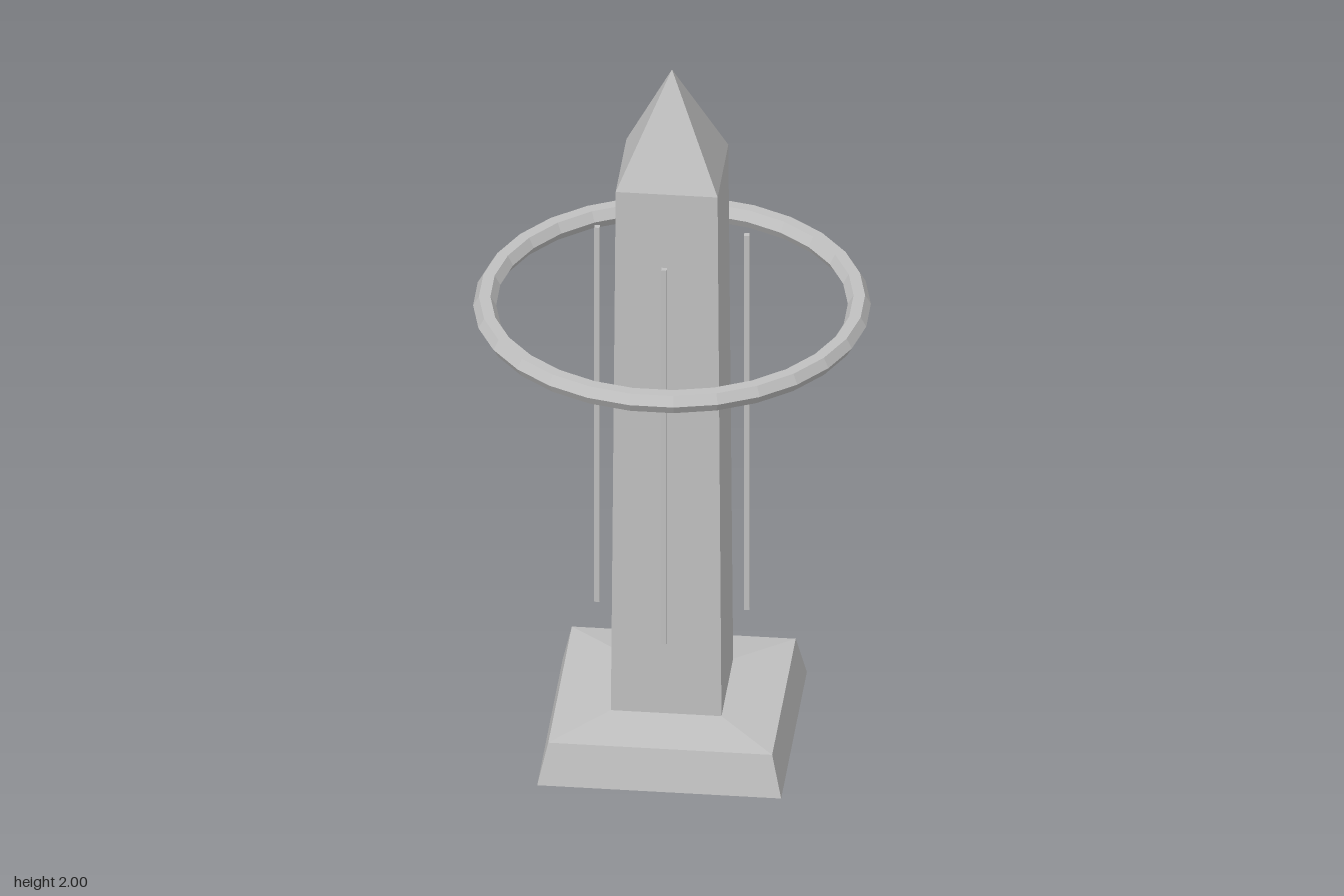
import * as THREE from 'three';

export function createModel() {
  const model = new THREE.Group();
  model.name = 'obelisk';
  const stone = new THREE.MeshStandardMaterial({ color: 0xc0c0c0, flatShading: true });
  stone.name = 'grey stone';

  const add = (name, geometry, x = 0, y = 0, z = 0) => {
    const mesh = new THREE.Mesh(geometry, stone);
    mesh.name = name;
    mesh.position.set(x, y, z);
    model.add(mesh);
    return mesh;
  };
  // Four-sided solid with its corners on the x and z axes
  const foursided = (profile) =>
    new THREE.LatheGeometry(profile.map(([r, y]) => new THREE.Vector2(r, y)), 4);

  // Plinth with sloped sides and a gently rising top
  add('plinth', foursided([[0, 0], [0.45, 0], [0.413, 0.115], [0.204, 0.134]]));

  // Tapered shaft and pointed cap
  add('shaft', foursided([[0.204, 0.134], [0.188, 1.7]]));
  add('pointedCap', foursided([[0.188, 1.7], [0, 2]]));

  // Floating ring with a hexagonal section
  add('ring', new THREE.TorusGeometry(0.486, 0.03, 6, 28).rotateX(-Math.PI / 2), 0, 1.287, 0);

  // Slim rods floating before each face of the shaft
  const rod = new THREE.CylinderGeometry(0.01, 0.01, 1.135, 4);
  for (const x of [-1, 1]) {
    for (const z of [-1, 1]) {
      add(`${z > 0 ? 'front' : 'back'}${x > 0 ? 'Left' : 'Right'}Rod`, rod, x * 0.138, 0.944, z * 0.138);
    }
  }
  return model;
}
